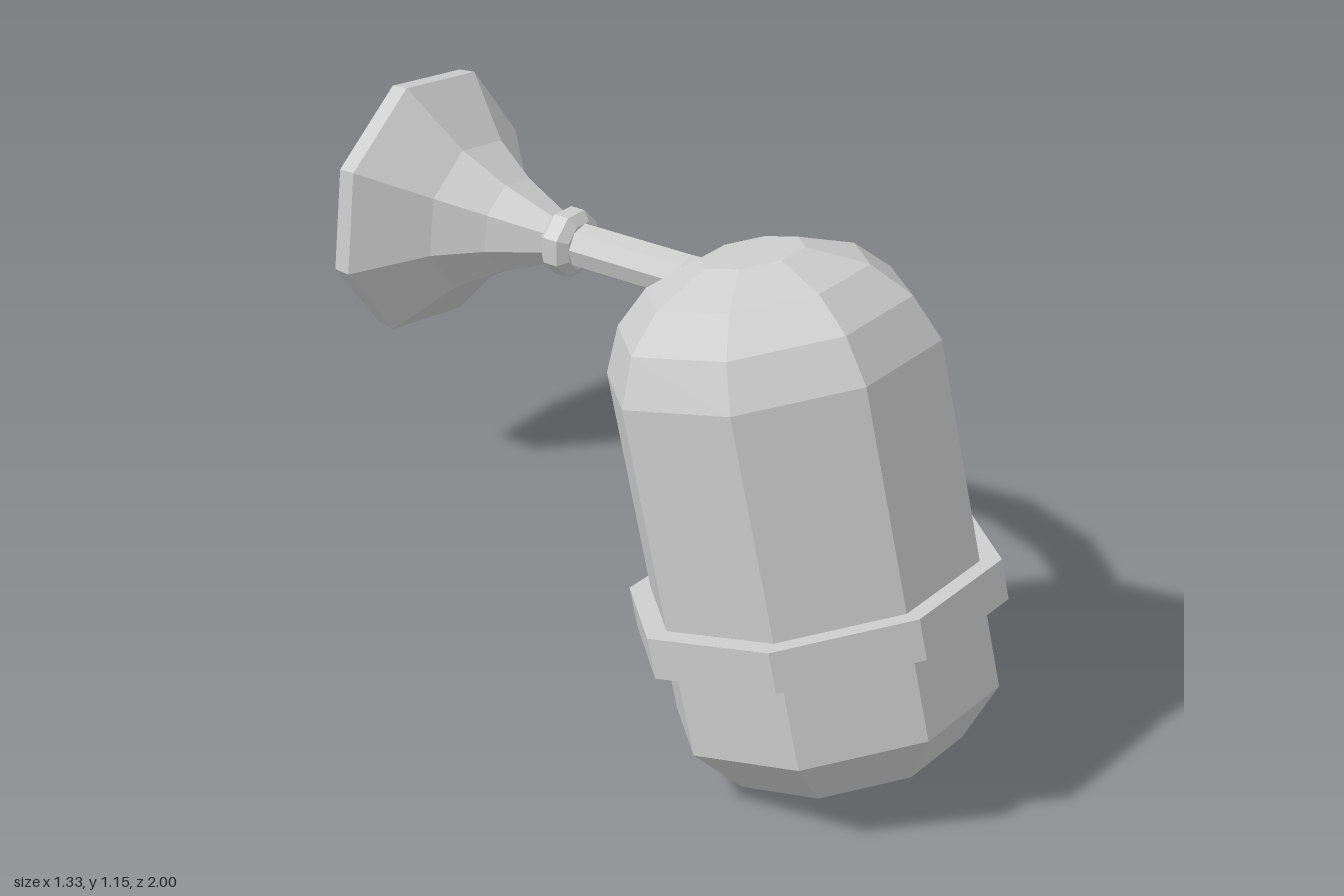
import * as THREE from 'three';

const material = new THREE.MeshStandardMaterial({ color: 0xcccccc, flatShading: true });
const SIDES = 8;
const FLAT = 1 / Math.cos(Math.PI / SIDES); // flat-to-flat radius -> corner radius

// Eight-sided turned part; profile is [radius, height] from the bottom up
function turned(name, profile, phase, scale = 1) {
  const points = profile.map(([r, y]) => new THREE.Vector2(r * scale, y));
  const mesh = new THREE.Mesh(new THREE.LatheGeometry(points, SIDES, phase), material);
  mesh.name = name;
  return mesh;
}

// Polyline with evenly numbered stations, so each bend gets one mitred ring
class Polyline extends THREE.Curve {
  constructor(points) {
    super();
    this.points = points;
  }
  getPoint(t, target = new THREE.Vector3()) {
    const n = this.points.length - 1;
    const i = Math.min(Math.floor(t * n), n - 1);
    return target.lerpVectors(this.points[i], this.points[i + 1], t * n - i);
  }
  getPointAt(u, target) { return this.getPoint(u, target); }
  getTangentAt(u, target) { return this.getTangent(u, target); }
}

export function createModel() {
  const model = new THREE.Group();
  const phase = Math.PI / SIDES;

  // Tilted capsule body with a band
  const canister = new THREE.Group();
  canister.name = 'canister';
  canister.position.set(-0.297, 0.06, 0.71);
  canister.rotation.x = -0.234;
  canister.add(
    turned('lowerBody', [[0, 0], [0.237, 0], [0.326, 0.11], [0.326, 0.34]], phase, FLAT),
    turned('band', [[0.3, 0.304], [0.373, 0.304], [0.373, 0.393], [0.3, 0.393]], phase, FLAT),
    turned('domedBody', [[0.33, 0.34], [0.33, 0.876], [0.29, 0.975], [0.22, 1.049],
      [0.103, 1.1], [0, 1.1]], phase, FLAT),
  );
  model.add(canister);

  // Socket on the side of the body
  const socket = turned('socket', [[0, 0], [0.078, 0], [0.078, 0.06], [0, 0.06]], phase);
  socket.position.set(0.01, 0.677, 0.56);
  socket.rotation.z = -Math.PI / 2;
  model.add(socket);

  // Bent arm
  const path = [
    [0.05, 0.683, 0.555], [0.148, 0.652, 0.548], [0.275, 0.603, 0.492], [0.373, 0.605, 0.378],
    [0.429, 0.633, 0.167], [0.386, 0.66, -0.069], [0.348, 0.675, -0.18], [0.345, 0.675, -0.53],
  ].map((p) => new THREE.Vector3(...p));
  const arm = new THREE.Mesh(
    new THREE.TubeGeometry(new Polyline(path), path.length - 1, 0.056, SIDES), material);
  arm.name = 'arm';
  model.add(arm);

  // Collar and hollow flared mount, turned to face backwards
  const mount = new THREE.Group();
  mount.name = 'mount';
  mount.position.set(0.345, 0.675, 0);
  mount.rotation.x = -Math.PI / 2;
  mount.add(
    turned('collar', [[0, 0.49], [0.06, 0.49], [0.083, 0.51], [0.083, 0.55], [0.06, 0.572],
      [0, 0.572]], phase),
    turned('flare', [[0.06, 0.56], [0.118, 0.7], [0.187, 0.815], [0.33, 0.955], [0.326, 1],
      [0.27, 1], [0.15, 0.83], [0.08, 0.7], [0.04, 0.59], [0, 0.59]], Math.PI / 6),
  );
  model.add(mount);

  return model;
}
